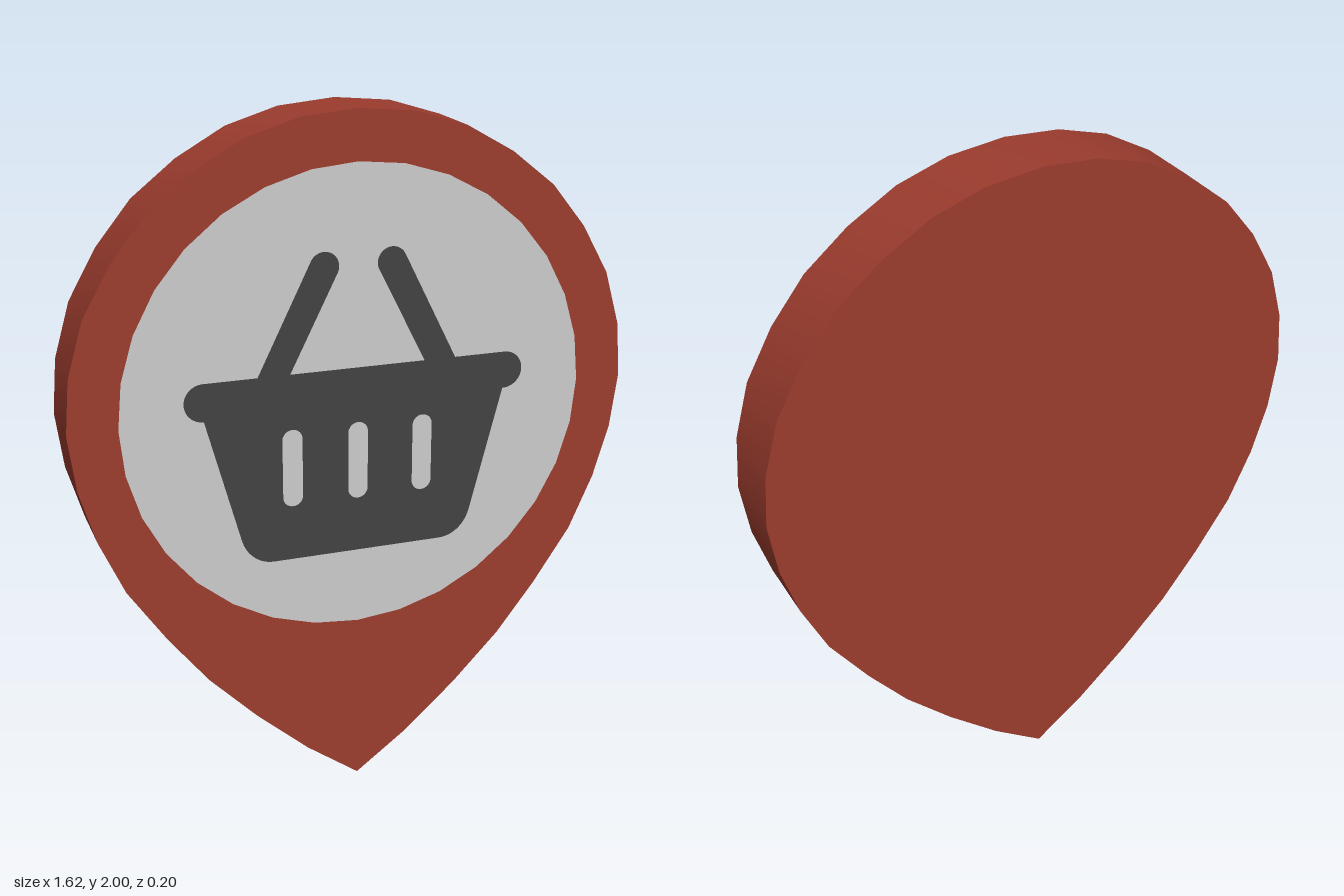
import * as THREE from 'three';
import { toCreasedNormals } from 'three/addons/utils/BufferGeometryUtils.js';

const BACK = -0.1, FRONT = 0.098;

function flatPart(name, geometry, material, z) {
  const mesh = new THREE.Mesh(geometry, material);
  mesh.name = name;
  mesh.position.z = z;
  return mesh;
}

// Upright slot with round ends
function slot(x, bottom, top, r) {
  const path = new THREE.Path();
  path.absarc(x, top - r, r, 0, Math.PI);
  path.absarc(x, bottom + r, r, Math.PI, Math.PI * 2);
  path.closePath();
  return path;
}

export function createModel() {
  const group = new THREE.Group();
  group.name = 'mapPin';
  const red = new THREE.MeshStandardMaterial({ color: 0x9c3c2e });
  const grey = new THREE.MeshStandardMaterial({ color: 0xcccccc });
  const dark = new THREE.MeshStandardMaterial({ color: 0x424242 });

  // Pin body: half outline from tip to crown, mirrored
  const half = [
    [0.155, 0.115], [0.31, 0.255], [0.45, 0.4], [0.565, 0.55], [0.675, 0.715],
    [0.745, 0.875], [0.79, 1.03], [0.81, 1.19], [0.796, 1.345], [0.75, 1.5],
    [0.67, 1.64], [0.57, 1.763], [0.445, 1.862], [0.307, 1.94], [0.16, 1.985],
  ];
  const outline = [[0, 0], ...half, [0, 2], ...half.map(([x, y]) => [-x, y]).reverse()];
  const bodyShape = new THREE.Shape(outline.map(([x, y]) => new THREE.Vector2(x, y)));
  const bodyGeometry = new THREE.ExtrudeGeometry(bodyShape, { depth: FRONT - BACK, bevelEnabled: false });
  group.add(flatPart('pinBody', toCreasedNormals(bodyGeometry, 0.5), red, BACK));

  // Round inlay
  const disc = flatPart('disc', new THREE.CircleGeometry(0.672, 32), grey, FRONT + 0.001);
  disc.position.y = 1.19;
  group.add(disc);

  // Basket: rim with round ends above a tapered tub
  const icon = new THREE.Group();
  icon.name = 'basket';
  const basket = new THREE.Shape();
  basket.moveTo(-0.25, 0.746);
  basket.lineTo(0.25, 0.746);
  basket.bezierCurveTo(0.295, 0.746, 0.333, 0.778, 0.345, 0.83);
  basket.lineTo(0.437, 1.188);
  basket.absarc(0.44, 1.242, 0.054, -Math.PI / 2, Math.PI / 2);
  basket.lineTo(-0.44, 1.296);
  basket.absarc(-0.44, 1.242, 0.054, Math.PI / 2, Math.PI * 1.5);
  basket.lineTo(-0.345, 0.83);
  basket.bezierCurveTo(-0.333, 0.778, -0.295, 0.746, -0.25, 0.746);
  for (const x of [-0.192, 0, 0.192]) basket.holes.push(slot(x, 0.908, 1.136, 0.029));
  icon.add(flatPart('basketTub', new THREE.ShapeGeometry(basket), dark, FRONT + 0.002));

  // Slanted handles, rounded at the top and ending at the rim
  for (const side of [-1, 1]) {
    const handle = new THREE.Shape();
    const a = side > 0 ? 0.475 : -0.475;
    handle.moveTo(side * 0.245 - 0.046, 1.29);
    handle.lineTo(side * 0.245 + 0.046, 1.29);
    handle.absarc(side * 0.097, 1.586, 0.042, a, a + Math.PI);
    handle.closePath();
    icon.add(flatPart(side > 0 ? 'leftHandle' : 'rightHandle', new THREE.ShapeGeometry(handle), dark, FRONT + 0.002));
  }
  group.add(icon);
  return group;
}
